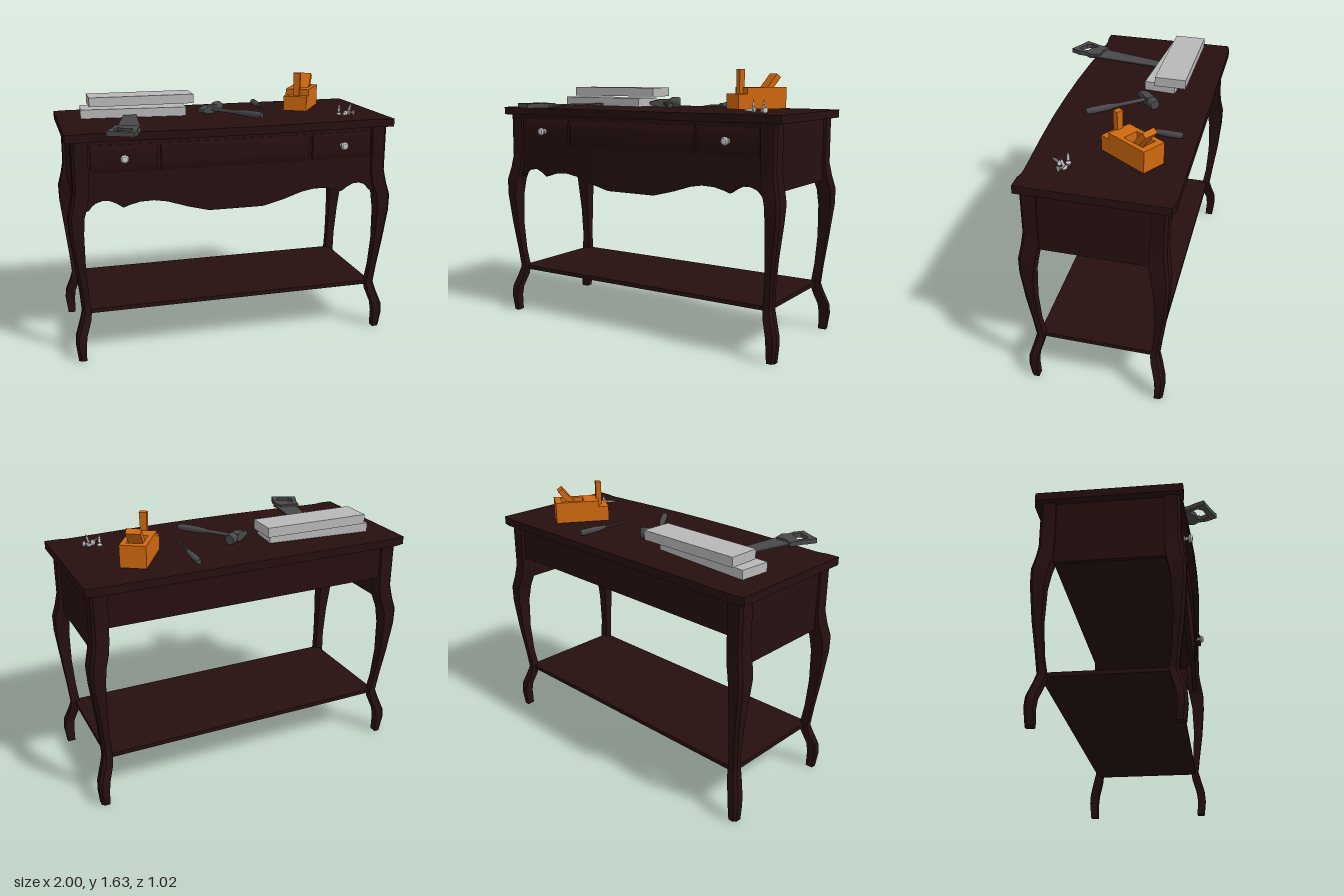
import * as THREE from 'three';
import { toCreasedNormals } from 'three/addons/utils/BufferGeometryUtils.js';

const mat = (name, color) => Object.assign(new THREE.MeshStandardMaterial({ color }), { name });
const wood = mat('dark wood', 0x260f0f);
const orange = mat('orange wood', 0xd0690f);
const plankGrey = mat('plank grey', 0xb8b8b8);
const toolGrey = mat('tool grey', 0x484848);
const silver = mat('silver', 0xcacaca);
const TOP = 1.387, MID_Z = -0.08;

function add(parent, name, geometry, material, x = 0, y = 0, z = 0) {
  const mesh = new THREE.Mesh(geometry, material);
  mesh.name = name;
  mesh.position.set(x, y, z);
  parent.add(mesh);
  return mesh;
}
function group(parent, name, x, y, z, turn = 0) {
  const g = new THREE.Group();
  g.name = name;
  g.position.set(x, y, z);
  g.rotation.y = turn;
  parent.add(g);
  return g;
}
const box = (w, h, d) => new THREE.BoxGeometry(w, h, d);
const lathe = (pts, n = 14) =>
  toCreasedNormals(new THREE.LatheGeometry(pts.map(p => new THREE.Vector2(...p)), n), 0.7);
const vecs = pts => pts.map(p => new THREE.Vector2(...p));

// Flat outline given as x, z; its upper face lies at y = 0
function slab(pts, depth, hole) {
  const shape = new THREE.Shape(vecs(pts));
  if (hole) shape.holes.push(new THREE.Path(vecs(hole)));
  return new THREE.ExtrudeGeometry(shape, { depth, bevelEnabled: false }).rotateX(Math.PI / 2);
}

// Curved leg: rings of y, outer x, inner x, outer z, inner z (z from the table's middle)
const LEG = [
  [1.34, 0.965, 0.87, 0.395, 0.305], [1.06, 0.965, 0.875, 0.395, 0.305],
  [0.98, 0.98, 0.885, 0.405, 0.305], [0.9, 1.0, 0.91, 0.42, 0.32],
  [0.8, 0.998, 0.917, 0.42, 0.337], [0.6, 0.975, 0.915, 0.405, 0.345],
  [0.42, 0.955, 0.903, 0.382, 0.336], [0.3, 0.945, 0.89, 0.368, 0.318],
  [0.25, 0.958, 0.897, 0.382, 0.325], [0.16, 0.99, 0.927, 0.408, 0.352],
  [0.1, 0.994, 0.934, 0.412, 0.358], [0, 0.982, 0.935, 0.402, 0.353]];
function legGeometry(sx, sz) {
  const pos = [], idx = [], n = 5, c = 0.016;
  for (const [y, xo, xi, zo, zi] of LEG)
    for (const [x, z] of [[xi, zi], [xo, zi], [xo, zo - c], [xo - c, zo], [xi, zo]])
      pos.push(sx * x, y, MID_Z + sz * z);
  const tri = (a, b, d) => sx * sz > 0 ? idx.push(a, b, d) : idx.push(a, d, b);
  for (let r = 0; r < LEG.length - 1; r++)
    for (let k = 0; k < n; k++) {
      const a = r * n + k, b = r * n + (k + 1) % n;
      tri(a, b, b + n);
      tri(a, b + n, a + n);
    }
  const last = (LEG.length - 1) * n;
  for (let k = 1; k < n - 1; k++) {
    tri(0, k + 1, k);
    tri(last, last + k, last + k + 1);
  }
  const g = new THREE.BufferGeometry();
  g.setAttribute('position', new THREE.Float32BufferAttribute(pos, 3));
  g.setIndex(idx);
  return toCreasedNormals(g, 0.5);
}

// Front faces follow a gentle bow in plan
const bow = x => 0.29 + 0.02 * (1 - x * x);
// Lower edge of the apron, from the middle outwards
const SCALLOP = [[0, 0.885], [0.17, 0.885], [0.3, 0.918], [0.42, 0.957], [0.5, 0.97], [0.58, 0.967],
  [0.64, 0.952], [0.68, 0.938], [0.72, 0.965], [0.76, 0.983], [0.8, 0.985], [0.85, 0.968], [0.88, 0.93], [0.92, 0.92]];
function scallop(x) {
  const i = Math.max(1, SCALLOP.findIndex(p => p[0] >= x));
  const [a, b] = [SCALLOP[i - 1], SCALLOP[i]];
  return a[1] + (b[1] - a[1]) * (x - a[0]) / (b[0] - a[0]);
}
function moveVertices(g, rule) {
  const p = g.attributes.position, v = new THREE.Vector3();
  for (let i = 0; i < p.count; i++) {
    rule(v.fromBufferAttribute(p, i));
    p.setXYZ(i, v.x, v.y, v.z);
  }
  g.computeVertexNormals();
  return g;
}
const apronGeometry = () => moveVertices(new THREE.BoxGeometry(1.8, 1, 0.03, 90, 1, 1), v => {
  v.y = v.y > 0 ? 1.34 : scallop(Math.abs(v.x));
  v.z += bow(v.x) - 0.015;
});
// Pillowed drawer front
const drawerGeometry = (x0, x1) => moveVertices(new THREE.BoxGeometry(x1 - x0, 0.16, 0.02, 16, 8, 1), v => {
  const t = v.y / 0.08;
  v.x += (x0 + x1) / 2;
  v.z = bow(v.x) + (v.z > 0 ? 0.004 + 0.012 * (1 - t ** 4) : -0.01);
});

function buildTable(root) {
  const table = group(root, 'table', 0, 0, 0);
  const half = [[0, 0.36], [0.25, 0.357], [0.5, 0.346], [0.7, 0.333], [0.83, 0.325], [0.88, 0.325], [0.92, 0.335],
    [1, 0.335], [1, -0.5], [0.94, -0.515]];
  const outline = [...half, ...half.slice(1).reverse().map(([x, z]) => [-x, z])];
  add(table, 'tableTop', slab(outline, 0.048), wood, 0, TOP - 0.002);
  for (const sx of [1, -1]) {
    for (const sz of [1, -1]) add(table, sz > 0 ? 'frontLeg' : 'backLeg', legGeometry(sx, sz), wood);
    add(table, 'sidePanel', box(0.025, 0.385, 0.7), wood, sx * 0.935, 1.1475, MID_Z);
    add(table, 'smallDrawer', drawerGeometry(...(sx > 0 ? [0.475, 0.86] : [-0.86, -0.475])), wood, 0, 1.23, 0);
    const knob = lathe([[0, 0], [0.016, 0], [0.016, 0.006], [0.009, 0.01], [0.009, 0.026], [0.024, 0.032],
      [0.025, 0.042], [0.017, 0.052], [0, 0.055]]).rotateX(Math.PI / 2);
    add(table, 'drawerKnob', knob, silver, sx * 0.67, 1.235, 0.312);
  }
  add(table, 'middleDrawer', drawerGeometry(-0.455, 0.455), wood, 0, 1.23, 0);
  add(table, 'apron', apronGeometry(), wood);
  add(table, 'backPanel', box(1.8, 0.22, 0.025), wood, 0, 1.23, -0.44);
  add(table, 'caseBottom', box(1.85, 0.02, 0.72), wood, 0, 1.13, MID_Z);
  add(table, 'shelf', box(1.84, 0.025, 0.7), wood, 0, 0.298, MID_Z);
}

function buildPlanks(root) {
  add(root, 'lowerPlank', box(0.65, 0.055, 0.19), plankGrey, -0.53, 1.416, -0.21).rotation.y = -0.08;
  add(root, 'upperPlank', box(0.655, 0.057, 0.19), plankGrey, -0.475, 1.482, -0.262).rotation.y = -0.012;
}

function buildSaw(root) {
  const saw = group(root, 'saw', 0, 0, 0);
  add(saw, 'sawBlade', slab([[-0.7, 0.28], [-0.6, -0.13], [-0.52, -0.12], [-0.575, 0.375], [-0.66, 0.36]], 0.008),
    toolGrey, 0, 1.405);
  add(saw, 'sawHandle', slab(
    [[-0.71, 0.27], [-0.655, 0.3], [-0.59, 0.3], [-0.575, 0.37], [-0.6, 0.4], [-0.605, 0.45], [-0.635, 0.51],
      [-0.7, 0.475], [-0.78, 0.44], [-0.755, 0.385], [-0.735, 0.35]], 0.028,
    [[-0.705, 0.345], [-0.735, 0.4], [-0.72, 0.43], [-0.65, 0.462], [-0.625, 0.42], [-0.635, 0.395], [-0.67, 0.385]]),
  toolGrey, 0, 1.418);
}

function buildHammer(root) {
  const hammer = group(root, 'hammer', -0.045, 1.415, -0.145, 0.661);
  const handle = lathe([[0, -0.02], [0.012, -0.02], [0.012, 0.2], [0.019, 0.25], [0.021, 0.36], [0.016, 0.4], [0, 0.4]]);
  add(hammer, 'hammerHandle', handle.rotateX(Math.PI / 2), toolGrey);
  add(hammer, 'hammerHead', box(0.07, 0.05, 0.05), toolGrey, 0, 0, 0);
  const face = lathe([[0, -0.1], [0.028, -0.1], [0.034, -0.09], [0.034, -0.05], [0.022, -0.03], [0, -0.03]]);
  add(hammer, 'hammerFace', face.rotateZ(Math.PI / 2), toolGrey, 0, 0.005, 0);
  const peen = moveVertices(box(0.065, 0.05, 0.05), v => { if (v.x < 0) v.y *= 0.35; });
  add(hammer, 'hammerPeen', peen, toolGrey, -0.065, 0, 0);
}

function buildScrewdriver(root) {
  const tool = group(root, 'screwdriver', 0.325, 1.405, -0.43, -0.07);
  const handle = lathe([[0, 0], [0.014, 0], [0.019, 0.02], [0.018, 0.13], [0.012, 0.17], [0.014, 0.185], [0, 0.19]]);
  add(tool, 'screwdriverHandle', handle.rotateX(Math.PI / 2), toolGrey);
  add(tool, 'screwdriverShaft', lathe([[0.007, 0.17], [0.007, 0.34], [0, 0.34]], 8).rotateX(Math.PI / 2), toolGrey);
  add(tool, 'screwdriverTip', box(0.018, 0.006, 0.035), toolGrey, 0, 0, 0.345);
}

function buildPlane(root) {
  const plane = group(root, 'handPlane', 0.585, TOP + 0.005, -0.2, -0.579);
  const w = 0.075, m = 0.047;
  add(plane, 'planeBody', slab([[-w, -0.165], [w, -0.165], [w, 0.105], [-w, 0.105]], 0.13,
    [[-m, -0.125], [m, -0.125], [m, 0.015], [-m, 0.015]]), orange, 0, 0.13, 0);
  add(plane, 'planeSole', box(2 * m, 0.02, 0.14), orange, 0, 0.011, -0.055);
  add(plane, 'planeNose', box(2 * w, 0.092, 0.062), orange, 0, 0.046, 0.134);
  const horn = moveVertices(box(0.044, 0.15, 0.034), v => { if (v.y < 0) v.x *= 0.8; });
  add(plane, 'planeHorn', horn, orange, 0, 0.162, 0.112);
  add(plane, 'planeWedge', box(0.085, 0.2, 0.035), orange, 0, 0.122, -0.067).rotation.x = -0.68;
}

// Small screws, two upright on their heads and one lying down
function buildScrews(root) {
  const screw = () => lathe([[0, 0], [0.016, 0], [0.016, 0.005], [0.006, 0.014], [0.006, 0.022], [0.009, 0.024],
    [0.006, 0.032], [0.009, 0.034], [0.006, 0.042], [0.008, 0.044], [0.005, 0.054], [0, 0.078]], 10);
  add(root, 'screw', screw(), silver, 0.725, TOP, 0.115);
  add(root, 'screw', screw(), silver, 0.785, TOP + 0.004, 0.115).rotation.set(0.25, 0, -0.2);
  add(root, 'screw', screw(), silver, 0.815, TOP + 0.014, 0.145)
    .quaternion.setFromUnitVectors(new THREE.Vector3(0, 1, 0), new THREE.Vector3(-0.75, 0, -0.65).normalize());
  add(root, 'screw', screw(), silver, 0.755, TOP + 0.014, 0.152)
    .quaternion.setFromUnitVectors(new THREE.Vector3(0, 1, 0), new THREE.Vector3(-0.6, 0, 0.8));
}

export function createModel() {
  const root = new THREE.Group();
  root.name = 'workbenchWithTools';
  [buildTable, buildPlanks, buildSaw, buildHammer, buildScrewdriver, buildPlane, buildScrews].forEach(build => build(root));
  return root;
}
